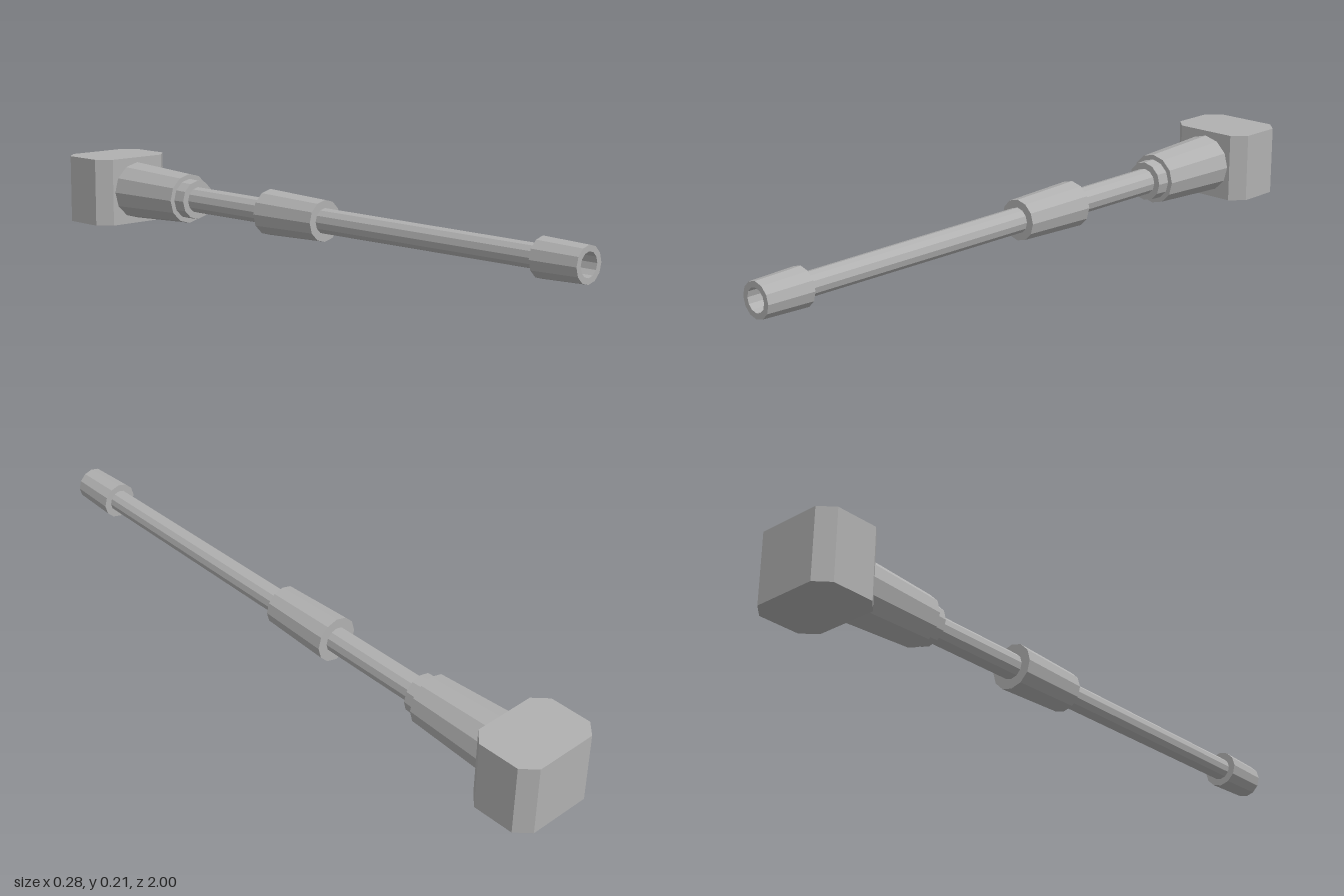
import * as THREE from 'three';

const SIDES = 12;
const AXIS_Y = 0.106;

// Faceted normals for a crisp low-poly look
function faceted(geometry) {
  const g = geometry.index ? geometry.toNonIndexed() : geometry;
  g.computeVertexNormals();
  return g;
}

// Turned part along the barrel axis; profile is [radius, z], z rising along the outer wall
function turned(name, profile, material) {
  const points = profile.map(([r, z]) => new THREE.Vector2(r, z));
  const geometry = new THREE.LatheGeometry(points, SIDES);
  geometry.rotateX(Math.PI / 2);
  const mesh = new THREE.Mesh(faceted(geometry), material);
  mesh.name = name;
  mesh.position.y = AXIS_Y;
  return mesh;
}

// Closed tapered section from back to front
const section = (zBack, rBack, zFront, rFront) => [[0, zBack], [rBack, zBack], [rFront, zFront], [0, zFront]];

export function createModel() {
  const group = new THREE.Group();
  group.name = 'gunBarrel';
  const steel = new THREE.MeshStandardMaterial({ color: 0xb0b0b0 });
  steel.name = 'grey steel';

  // Breech block: rectangle with chamfered corners, extruded upward
  const w = 0.138, d = 0.105, c = 0.04;
  const outline = new THREE.Shape([
    [-w + c, -d], [w - c, -d], [w, -d + c], [w, d - c],
    [w - c, d], [-w + c, d], [-w, d - c], [-w, -d + c],
  ].map(([x, y]) => new THREE.Vector2(x, y)));
  const blockGeometry = new THREE.ExtrudeGeometry(outline, { depth: 0.212, bevelEnabled: false });
  blockGeometry.rotateX(-Math.PI / 2);
  const block = new THREE.Mesh(faceted(blockGeometry), steel);
  block.name = 'breechBlock';
  block.position.z = -0.895;
  group.add(block);

  // Stepped barrel, from breech to muzzle
  group.add(
    turned('breechSleeve', section(-0.79, 0.09, -0.53, 0.077), steel),
    turned('collar', section(-0.53, 0.062, -0.49, 0.06), steel),
    turned('barrelTube', section(-0.49, 0.04, 0.86, 0.034), steel),
    turned('boreEvacuator', section(-0.16, 0.069, 0.07, 0.061), steel),
  );

  // Muzzle ring with a recessed bore
  group.add(turned('muzzle', [
    [0, 0.855], [0.056, 0.855], [0.051, 1], [0.034, 1], [0.034, 0.88], [0, 0.88],
  ], steel));

  return group;
}
